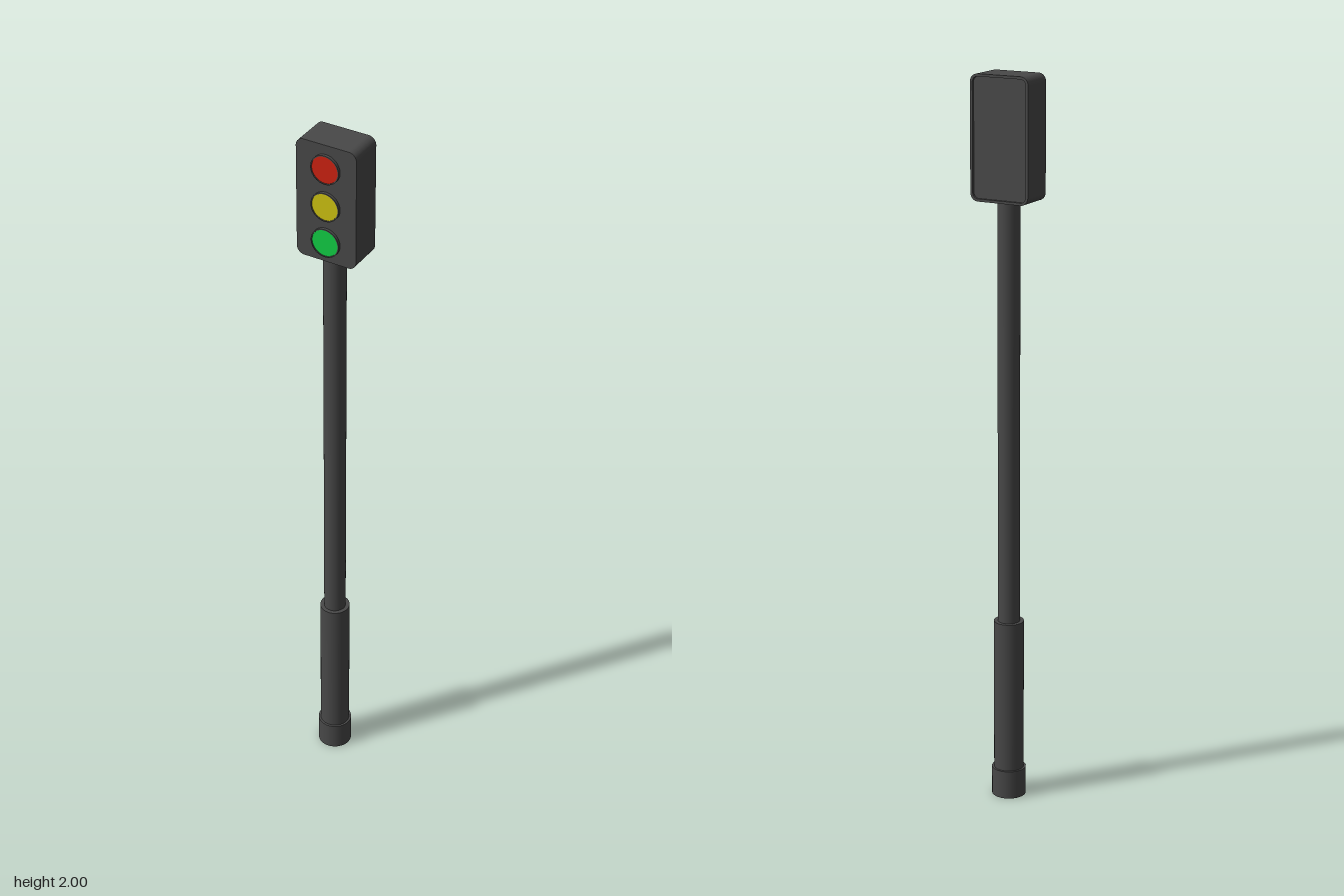
import * as THREE from 'three';

const dark = new THREE.MeshStandardMaterial({ color: 0x484848 });

// Rounded rectangle outline centred on the origin
function roundedRect(Type, w, h, r) {
  const s = new Type(), x = w / 2, y = h / 2;
  s.moveTo(-x + r, -y);
  s.lineTo(x - r, -y);
  s.absarc(x - r, -y + r, r, -Math.PI / 2, 0, false);
  s.lineTo(x, y - r);
  s.absarc(x - r, y - r, r, 0, Math.PI / 2, false);
  s.lineTo(-x + r, y);
  s.absarc(-x + r, y - r, r, Math.PI / 2, Math.PI, false);
  s.lineTo(-x, -y + r);
  s.absarc(-x + r, -y + r, r, Math.PI, Math.PI * 1.5, false);
  return s;
}

function extrude(shape, depth) {
  return new THREE.ExtrudeGeometry(shape, { depth, bevelEnabled: false, curveSegments: 10 });
}

function addMesh(parent, name, geometry, material, x, y, z) {
  const mesh = new THREE.Mesh(geometry, material);
  mesh.name = name;
  mesh.position.set(x, y, z);
  parent.add(mesh);
  return mesh;
}

export function createModel() {
  const model = new THREE.Group();
  model.name = 'trafficLight';

  // Stepped post: foot collar, thick sleeve, slim pole
  const post = [
    ['footCollar', 0.047, 0, 0.08],
    ['lowerSleeve', 0.041, 0.08, 0.51],
    ['pole', 0.03, 0.51, 1.68],
  ];
  for (const [name, r, y0, y1] of post) {
    addMesh(model, name, new THREE.CylinderGeometry(r, r, y1 - y0, 32), dark, 0, (y0 + y1) / 2, 0);
  }

  // Signal head with a shallow recessed back
  const head = new THREE.Group();
  head.name = 'signalHead';
  head.position.set(0, 1.835, 0);
  model.add(head);
  const w = 0.17, h = 0.33, r = 0.022, lip = 0.007, back = -0.053, front = 0.043, recess = 0.007;
  addMesh(head, 'housing', extrude(roundedRect(THREE.Shape, w, h, r), front - back - recess), dark, 0, 0, back + recess);
  const rim = roundedRect(THREE.Shape, w, h, r);
  rim.holes.push(roundedRect(THREE.Path, w - 2 * lip, h - 2 * lip, r - lip));
  addMesh(head, 'backRim', extrude(rim, recess), dark, 0, 0, back);

  // Three lamps: dark ring around a coloured lens
  const ring = new THREE.Shape().absarc(0, 0, 0.04, 0, Math.PI * 2, false);
  ring.holes.push(new THREE.Path().absarc(0, 0, 0.037, 0, Math.PI * 2, true));
  const ringGeometry = new THREE.ExtrudeGeometry(ring, { depth: 0.008, bevelEnabled: false, curveSegments: 32 });
  const lensGeometry = new THREE.CylinderGeometry(0.037, 0.037, 0.006, 32).rotateX(Math.PI / 2);
  const lamps = [['red', 0xcc2211, 0.1], ['yellow', 0xccc011, -0.005], ['green', 0x11cc44, -0.108]];
  for (const [name, color, y] of lamps) {
    addMesh(head, name + 'LampRing', ringGeometry, dark, 0, y, front);
    addMesh(head, name + 'Lens', lensGeometry, new THREE.MeshStandardMaterial({ color }), 0, y, front + 0.003);
  }
  return model;
}
